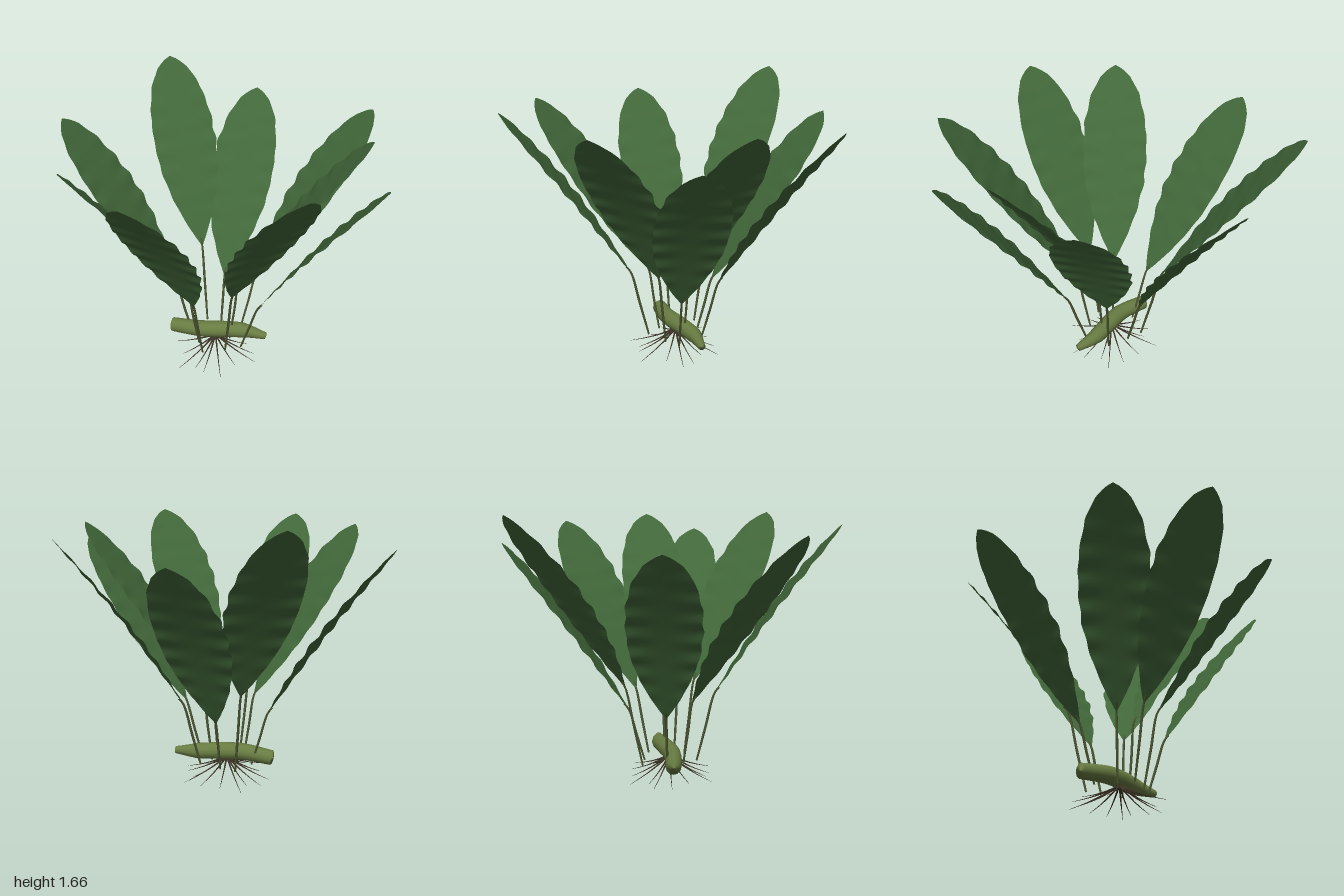
import * as THREE from 'three';

const material = (color, side = THREE.FrontSide) => new THREE.MeshStandardMaterial({ color, side });
const leafMat = material(0x42683a, THREE.DoubleSide);
const stalkMat = material(0x4c5632);
const rhizomeMat = material(0x687c42);
const rootMat = material(0x3f3528);

// Leaf blades: tip x, y, z, then base x, y, z
const LEAVES = [
  [-0.51, 1.66, -0.95, -0.15, 0.62, -0.29],
  [0.08, 1.47, -0.99, 0.01, 0.43, -0.25],
  [0.86, 1.55, -0.58, 0.23, 0.51, -0.18],
  [0.89, 1.59, -0.02, 0.15, 0.57, -0.02],
  [1.0, 1.48, 0.34, 0.29, 0.45, 0.1],
  [0.62, 1.61, 0.77, 0.14, 0.57, 0.18],
  [-0.27, 1.58, 0.98, -0.08, 0.54, 0.27],
  [-0.71, 1.55, 0.63, -0.15, 0.51, 0.12],
  [-1.0, 1.49, -0.19, -0.27, 0.45, -0.06],
];

// Half-width of a blade along its length, as [position, share of the maximum]
const OUTLINE = [[0, 0.02], [0.05, 0.18], [0.12, 0.39], [0.25, 0.7], [0.4, 0.93], [0.55, 1],
  [0.7, 0.96], [0.85, 0.76], [0.94, 0.47], [0.98, 0.22], [1, 0]];

function sample(table, t) {
  let i = 1;
  while (i < table.length - 1 && table[i][0] < t) i++;
  const [t0, a] = table[i - 1], [t1, b] = table[i];
  return THREE.MathUtils.lerp(a, b, (t - t0) / (t1 - t0));
}

// Tube whose radius follows a function of its length
function taperedTube(points, radiusAt, segments, sides) {
  const curve = new THREE.CatmullRomCurve3(points);
  const geo = new THREE.TubeGeometry(curve, segments, 1, sides);
  const pos = geo.attributes.position, v = new THREE.Vector3();
  for (let i = 0; i < pos.count; i++) {
    const t = Math.floor(i / (sides + 1)) / segments;
    const c = curve.getPointAt(t);
    v.fromBufferAttribute(pos, i).sub(c).multiplyScalar(radiusAt(t)).add(c);
    pos.setXYZ(i, v.x, v.y, v.z);
  }
  return geo;
}

// Flat oval blade, arched along its length, with rippled edges
function bladeGeometry(base, tip, seed) {
  const geo = new THREE.PlaneGeometry(2, 1, 8, 64);
  const pos = geo.attributes.position, v = new THREE.Vector3();
  const axis = tip.clone().sub(base);
  const across = new THREE.Vector3(axis.z, 0, -axis.x).normalize();
  const normal = new THREE.Vector3().crossVectors(axis, across).normalize();
  if (normal.y < 0) normal.negate();
  for (let i = 0; i < pos.count; i++) {
    const s = pos.getX(i), t = pos.getY(i) + 0.5;
    const ripple = Math.sin(t * 52 + seed * 2 + s) * Math.sin(Math.PI * t);
    const half = 0.208 * sample(OUTLINE, t) * (1 + 0.022 * ripple);
    const lift = 0.03 * Math.sin(Math.PI * t) + 0.007 * ripple * s * s;
    v.copy(base).addScaledVector(axis, t).addScaledVector(across, s * half).addScaledVector(normal, lift);
    pos.setXYZ(i, v.x, v.y, v.z);
  }
  geo.computeVertexNormals();
  return geo;
}

export function createModel() {
  const model = new THREE.Group();
  const add = (name, geo, mat, parent = model) => {
    const mesh = new THREE.Mesh(geo, mat);
    mesh.name = name;
    parent.add(mesh);
  };

  // Leaves, each a blade on a thin stalk
  LEAVES.forEach(([tx, ty, tz, bx, by, bz], i) => {
    const leaf = new THREE.Group();
    leaf.name = 'leaf';
    const base = new THREE.Vector3(bx, by, bz), tip = new THREE.Vector3(tx, ty, tz);
    add('blade', bladeGeometry(base, tip, i), leafMat, leaf);
    const foot = new THREE.Vector3(bx * 0.62, 0.1, bz * 0.62);
    const middle = foot.clone().lerp(base, 0.5);
    const neck = base.clone().lerp(tip, 0.04);
    add('stalk', taperedTube([foot, middle, base, neck], t => 0.006 + 0.002 * Math.sin(Math.PI * t), 16, 6), stalkMat, leaf);
    model.add(leaf);
  });

  // Creeping rhizome, narrowing to one end
  const spine = [[-0.3, 0.147, -0.02], [-0.1, 0.163, 0.005], [0.05, 0.165, -0.015], [0.18, 0.16, -0.035], [0.335, 0.148, -0.02]]
    .map(p => new THREE.Vector3(...p));
  const girth = [[0, 0], [0.008, 0.044], [0.02, 0.047], [0.3, 0.053], [0.5, 0.055], [0.75, 0.05], [0.99, 0.023], [1, 0]];
  add('rhizome', taperedTube(spine, t => sample(girth, t), 100, 12), rhizomeMat);

  // Fine roots spreading down to the ground
  const roots = new THREE.Group();
  roots.name = 'roots';
  const count = 16;
  for (let i = 0; i < count; i++) {
    const a = (i + 0.3 * Math.sin(i * 5)) / count * Math.PI * 2;
    const reach = 0.26 + 0.045 * Math.sin(i * 2.4);
    const path = [[0.0, 0.125], [0.3, 0.078], [0.65, 0.035], [1, 0.002]]
      .map(([r, y]) => new THREE.Vector3(Math.cos(a) * reach * r, y, Math.sin(a) * reach * r));
    add('root', taperedTube(path, t => 0.006 * (1 - t) + 0.0008, 12, 5), rootMat, roots);
  }
  model.add(roots);
  return model;
}
